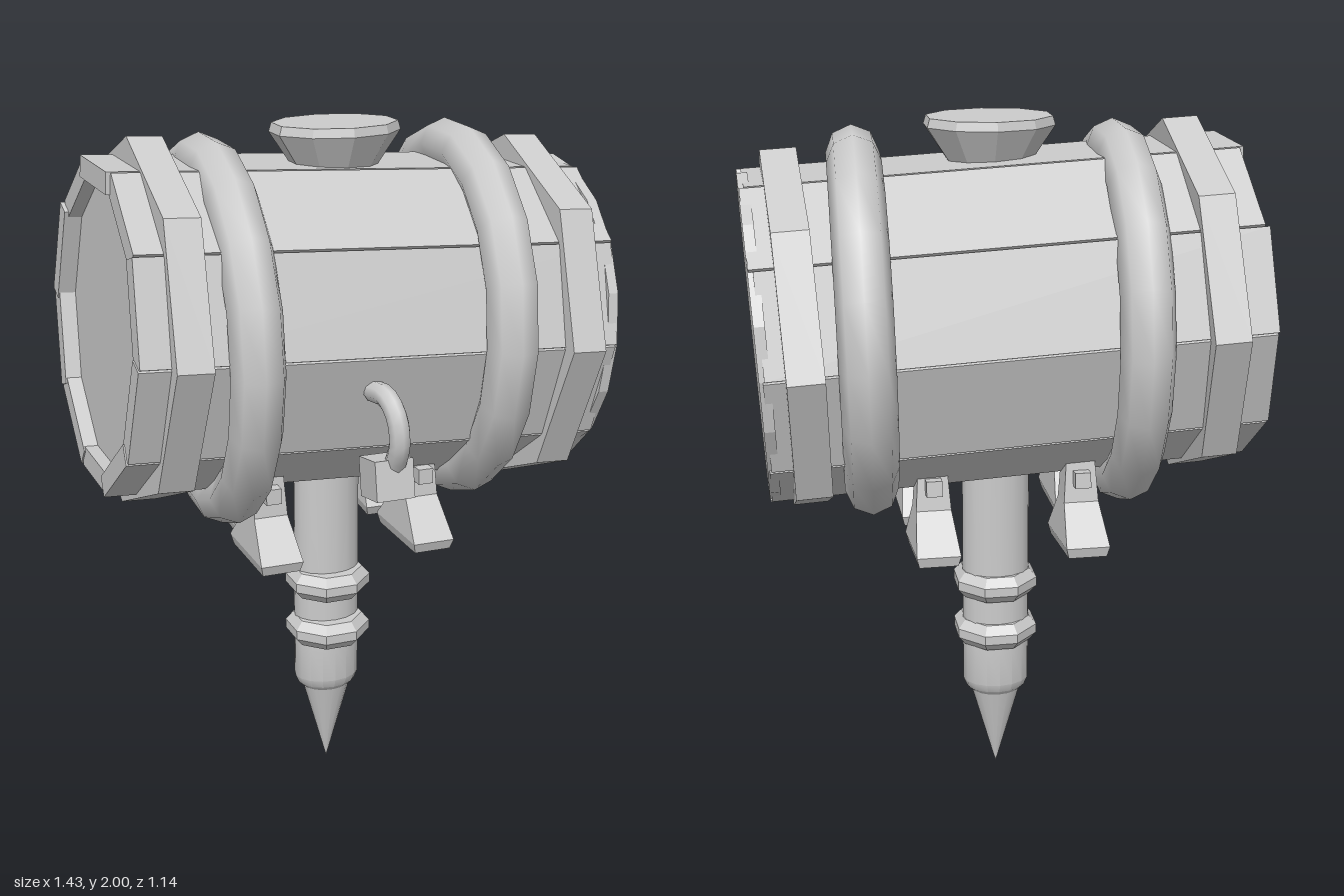
import * as THREE from 'three';
import { mergeVertices, toCreasedNormals } from 'three/addons/utils/BufferGeometryUtils.js';

const flat = new THREE.MeshStandardMaterial({ color: 0xcccccc, flatShading: true });
const smooth = new THREE.MeshStandardMaterial({ color: 0xcccccc });

function add(parent, name, geometry, material = flat, x = 0, y = 0, z = 0) {
  const mesh = new THREE.Mesh(geometry, material);
  mesh.name = name;
  mesh.position.set(x, y, z);
  parent.add(mesh);
  return mesh;
}

// Cylinder lying along x
function drum(radius, length, sides) {
  return new THREE.CylinderGeometry(radius, radius, length, sides).rotateZ(Math.PI / 2);
}

// Solid of stacked rectangles, each given as [y, width in x, depth in z]
function rectLoft(rows) {
  const geo = mergeVertices(new THREE.BoxGeometry(1, 1, 1, 1, rows.length - 1, 1).deleteAttribute('normal').deleteAttribute('uv'));
  const p = geo.attributes.position;
  for (let i = 0; i < p.count; i++) {
    const [y, w, d] = rows[Math.round((p.getY(i) + 0.5) * (rows.length - 1))];
    p.setXYZ(i, p.getX(i) * w, y, p.getZ(i) * d);
  }
  return toCreasedNormals(geo, 0.3);
}

function lathe(points, sides) {
  return new THREE.LatheGeometry(points.map(([r, y]) => new THREE.Vector2(r, y)), sides);
}

export function createModel() {
  const model = new THREE.Group();
  model.name = 'barrelOnSpike';

  // Barrel, leaning a little to one side
  const barrel = new THREE.Group();
  barrel.name = 'barrel';
  barrel.position.set(0, 1.44, -0.015);
  barrel.rotation.z = -0.052;
  model.add(barrel);

  // Ten staves around a core that is recessed at one end
  for (let i = 0; i < 10; i++) {
    const stave = new THREE.Group();
    stave.name = 'stave';
    stave.rotation.x = i * Math.PI / 5;
    const shift = 0.004 * ((i * 3) % 4 - 1.5);
    add(stave, 'staveBoard', new THREE.BoxGeometry(1.37, 0.06, 0.284), flat, shift, 0.417, 0);
    barrel.add(stave);
  }
  add(barrel, 'core', drum(0.444, 1.3, 10), flat, 0.01).rotation.x = 0;
  add(barrel, 'endDisc', drum(0.46, 0.03, 20), flat, 0.678);

  // Octagonal end bands
  for (const x of [-0.55, 0.575]) add(barrel, 'endBand', drum(0.518, 0.1, 8), flat, x);

  // Rounded hoops, set slightly askew
  for (const [x, yaw, lean] of [[-0.35, 0.045, -0.006], [0.385, 0.06, -0.025]]) {
    const hoop = add(model, 'hoop',
      new THREE.TorusGeometry(0.477, 0.075, 8, 18).rotateY(Math.PI / 2), smooth, x, 1.43, -0.015);
    hoop.rotation.set(0, -yaw, lean);
  }

  // Bung on top
  const bung = add(model, 'bung', lathe([[0, -0.15], [0.55, -0.15], [1, -0.025], [0.96, 0], [0, 0]], 10),
    flat, 0.015, 2, 0.01);
  bung.scale.set(0.188, 1, 0.148);

  // Post with pointed tip
  const post = add(model, 'post', toCreasedNormals(lathe(
    [[0, 0], [0.073, 0.26], [0.09, 0.275], [0.1, 0.3], [0.1, 0.42], [0.1, 1.1]], 16), 0.5),
    smooth, 0.003, 0, -0.03);
  post.scale.z = 0.8;

  // Collars around the post
  for (const y of [0.465, 0.62]) {
    add(model, 'collar', lathe(
      [[0.07, -0.04], [0.105, -0.04], [0.128, -0.014], [0.128, 0.014], [0.105, 0.04], [0.07, 0.04]], 8)
      .rotateY(Math.PI / 8), flat, 0.003, y, -0.018);
  }

  // Four flared feet with pegs
  for (const [x, z, lean] of [[-0.25, 0.15, 0], [0.215, 0.15, 0], [-0.21, -0.21, 0.1], [0.215, -0.21, 0.1]]) {
    const foot = new THREE.Group();
    foot.name = 'foot';
    foot.position.set(x, 0.79, z);
    foot.rotation.x = lean;
    add(foot, 'footBody', rectLoft([[0, 0.11, 0.26], [0.03, 0.125, 0.28], [0.14, 0.1, 0.09], [0.28, 0.08, 0.07]]));
    add(foot, 'peg', new THREE.BoxGeometry(0.045, 0.045, 0.05), flat, 0, 0.21, Math.sign(z) * 0.05);
    model.add(foot);
  }

  // Padlock: tilted body and curved shackle
  const lock = add(model, 'lockBody', new THREE.BoxGeometry(0.11, 0.11, 0.115), flat, -0.02, 1.12, 0.485);
  lock.rotation.x = -0.17;
  const path = new THREE.CatmullRomCurve3([[-0.01, 1.14, 0.5], [-0.01, 1.23, 0.545], [-0.015, 1.3, 0.535],
    [-0.025, 1.345, 0.49], [-0.035, 1.345, 0.42]].map(p => new THREE.Vector3(...p)));
  add(model, 'lockShackle', new THREE.TubeGeometry(path, 12, 0.03, 8), smooth);

  return model;
}
